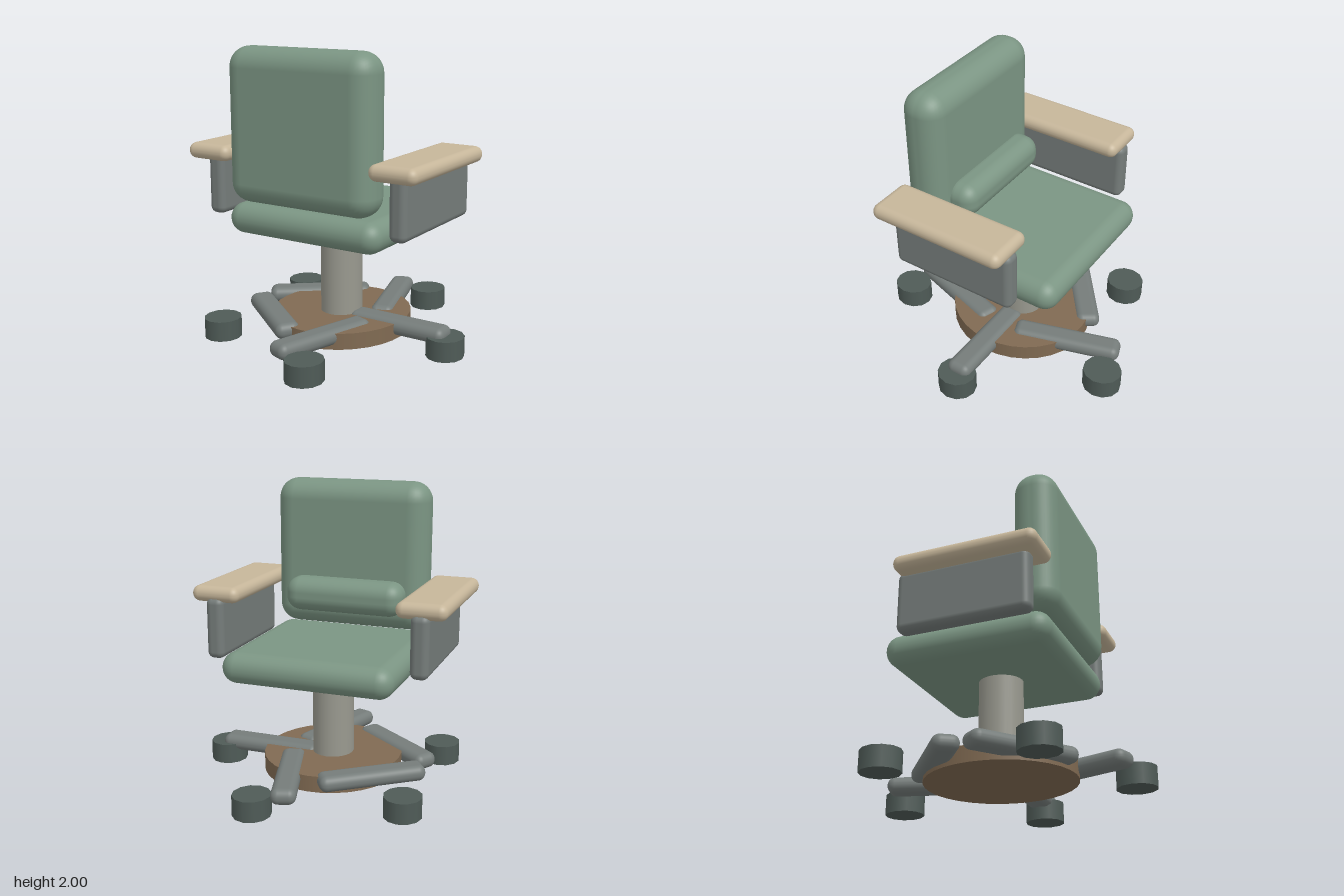
import * as THREE from 'three';
import { RoundedBoxGeometry } from 'three/addons/geometries/RoundedBoxGeometry.js';

const mat = (name, color) => {
  const m = new THREE.MeshStandardMaterial({ color });
  m.name = name;
  return m;
};

export function createModel() {
  const green = mat('green upholstery', 0x7b9583);
  const tan = mat('tan armrest', 0xc6b69a);
  const grey = mat('grey frame', 0x757c7a);
  const steel = mat('pale column', 0x99998f);
  const dark = mat('dark caster', 0x4f5b57);
  const brown = mat('brown disc', 0x806a52);

  const CX = -0.033; // the chair's own centre line
  const chair = new THREE.Group();
  chair.name = 'officeChair';

  const add = (parent, name, geometry, material, x, y, z) => {
    const mesh = new THREE.Mesh(geometry, material);
    mesh.name = name;
    mesh.position.set(x, y, z);
    parent.add(mesh);
    return mesh;
  };

  // Soft box given by its extents along each axis
  const softBox = (name, material, [x0, x1], [y0, y1], [z0, z1], radius) =>
    add(chair, name, new RoundedBoxGeometry(x1 - x0, y1 - y0, z1 - z0, 4, radius), material,
      (x0 + x1) / 2, (y0 + y1) / 2, (z0 + z1) / 2);

  // Upholstery
  softBox('seat', green, [-0.615, 0.55], [0.75, 0.96], [-0.59, 0.535], 0.104);
  softBox('backrest', green, [-0.58, 0.515], [0.975, 2.0], [0.28, 0.575], 0.135);
  softBox('lumbarCushion', green, [-0.455, 0.39], [1.1, 1.335], [0.12, 0.36], 0.1);

  // Armrests on side panels
  for (const side of [-1, 1]) {
    const label = side > 0 ? 'left' : 'right';
    const span = (a, b) => [CX + side * a, CX + side * b].sort((p, q) => p - q);
    softBox(label + 'Armrest', tan, span(0.533, 0.868), [1.24, 1.347], [-0.39, 0.572], 0.052);
    softBox(label + 'ArmPanel', grey, span(0.638, 0.76), [0.86, 1.275], [-0.4, 0.49], 0.045);
  }

  // Base, slightly narrower across than deep
  const base = new THREE.Group();
  base.name = 'base';
  base.position.x = CX;
  base.scale.x = 0.94;
  chair.add(base);

  add(base, 'column', new THREE.CylinderGeometry(0.15, 0.15, 0.62, 24), steel, 0, 0.47, 0);
  add(base, 'baseDisc', new THREE.CylinderGeometry(0.503, 0.503, 0.11, 32), brown, 0, 0.117, 0);

  // Five spokes, each turned opposite to its caster's bearing
  const spokeGeometry = new RoundedBoxGeometry(0.765, 0.108, 0.175, 4, 0.052);
  const casterGeometry = new THREE.CylinderGeometry(0.134, 0.134, 0.138, 12);
  for (let i = 0; i < 5; i++) {
    const a = (i * Math.PI * 2) / 5;
    const c = Math.cos(a), s = Math.sin(a);
    add(base, 'spoke' + (i + 1), spokeGeometry, grey, c * 0.49, 0.14, s * 0.49).rotation.y = a;
    add(base, 'caster' + (i + 1), casterGeometry, dark, c * 0.857, 0.069, s * 0.857);
  }

  return chair;
}
